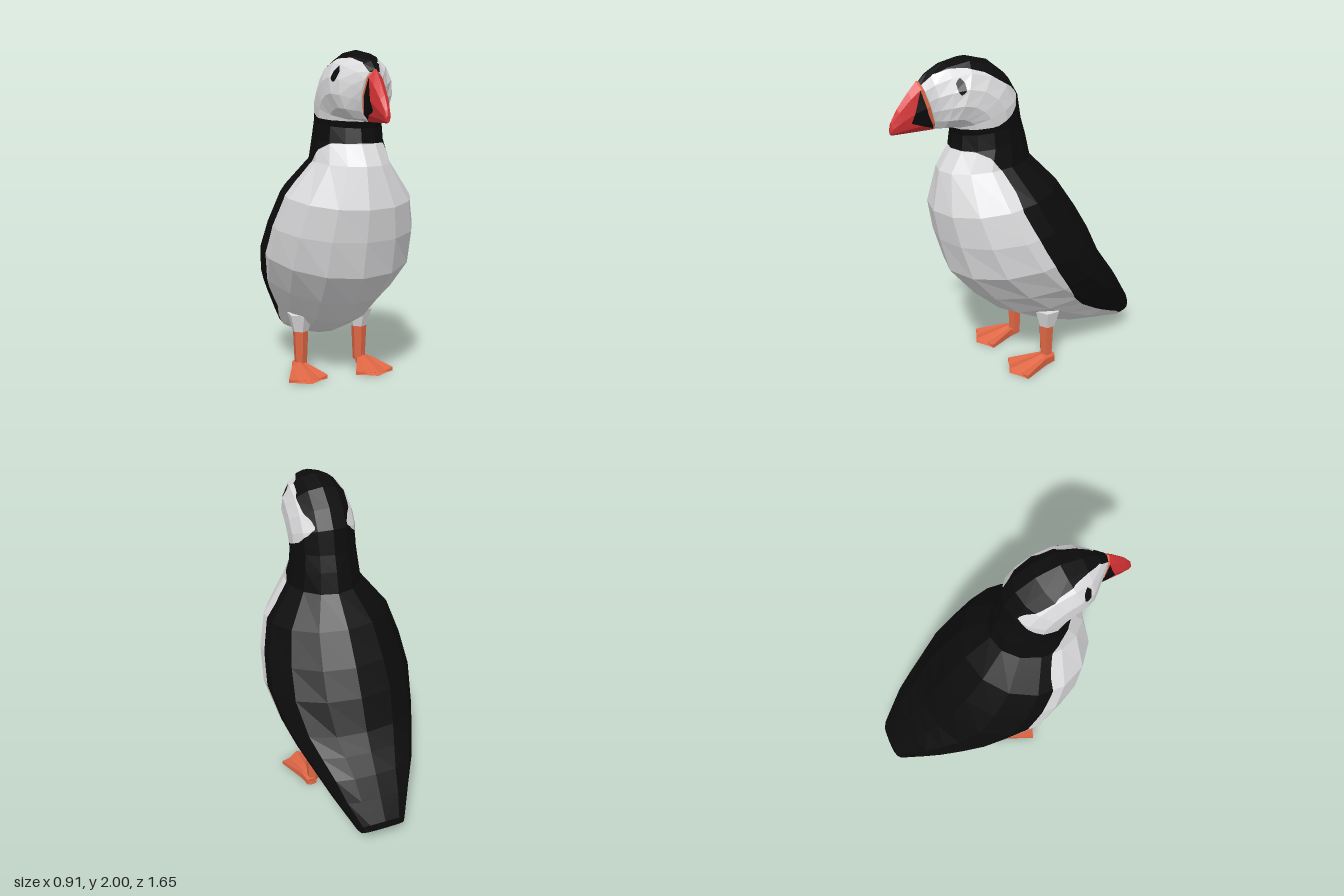
import * as THREE from 'three';

const mat = (name, color) => {
  const m = new THREE.MeshStandardMaterial({ color });
  m.name = name;
  return m;
};
const V = (x, y, z) => new THREE.Vector3(x, y, z);

// Oval section between a front and a back point (z, y); bias moves the widest part backward.
function oval([fz, fy, bz, by, w, bias = 0, power = 1], sides) {
  return Array.from({ length: sides }, (_, i) => {
    const t = (i / sides) * Math.PI * 2;
    const s = Math.sign(Math.sin(t)) * Math.abs(Math.sin(t)) ** power;
    const c = Math.cos(t) - bias * Math.sin(t) ** 2;
    return V(w * s, (fy + by) / 2 + (fy - by) / 2 * c, (fz + bz) / 2 + (fz - bz) / 2 * c);
  });
}

// Closed skin over a row of sections, as a list of outward triangles.
function loft(rings) {
  const tris = [];
  const n = rings[0].length;
  const mid = r => r.reduce((s, p) => s.add(p), V(0, 0, 0)).divideScalar(n);
  const first = rings[0], last = rings[rings.length - 1];
  const c0 = mid(first), c1 = mid(last);
  for (let i = 0; i < n; i++) {
    const j = (i + 1) % n;
    for (let k = 0; k + 1 < rings.length; k++) {
      const a = rings[k], b = rings[k + 1];
      tris.push([a[i], a[j], b[j]], [a[i], b[j], b[i]]);
    }
    tris.push([c0, first[j], first[i]], [c1, last[i], last[j]]);
  }
  const volume = tris.reduce((s, [a, b, c]) => s + a.dot(b.clone().cross(c)), 0);
  return volume < 0 ? tris.map(([a, b, c]) => [a, c, b]) : tris;
}

// Signed distance to an outline in the z-y plane, positive inside.
function inside(poly, p) {
  let d = Infinity, within = false;
  poly.forEach(([az, ay], i) => {
    const [bz, by] = poly[(i + 1) % poly.length];
    const ez = bz - az, ey = by - ay, pz = p.z - az, py = p.y - ay;
    const t = THREE.MathUtils.clamp((pz * ez + py * ey) / (ez * ez + ey * ey), 0, 1);
    d = Math.min(d, Math.hypot(pz - t * ez, py - t * ey));
    if ((ay > p.y) !== (by > p.y) && p.z < az + ez * (p.y - ay) / ey) within = !within;
  });
  return within ? d : -d;
}

// Cuts triangles along an outline into the part inside and the part outside.
function cut(tris, poly) {
  const parts = [[], []];
  const visit = tri => {
    const d = tri.map(p => inside(poly, p));
    const len = tri.map((p, i) => p.distanceTo(tri[(i + 1) % 3]));
    const longest = Math.max(...len);
    if (Math.min(...d.map(Math.abs)) > longest) {
      parts[d[0] > 0 ? 0 : 1].push(tri);
    } else if (longest > 0.025) {
      const i = len.indexOf(longest);
      const [a, b, c] = [tri[i], tri[(i + 1) % 3], tri[(i + 2) % 3]];
      const m = a.clone().lerp(b, 0.5);
      visit([a, m, c]);
      visit([m, b, c]);
    } else {
      [1, -1].forEach((sign, side) => {
        const out = [];
        tri.forEach((p, i) => {
          const j = (i + 1) % 3;
          if (d[i] * sign >= 0) out.push(p);
          if (d[i] * d[j] < 0) out.push(p.clone().lerp(tri[j], d[i] / (d[i] - d[j])));
        });
        for (let k = 1; k + 1 < out.length; k++) parts[side].push([out[0], out[k], out[k + 1]]);
      });
    }
  };
  tris.forEach(visit);
  return parts;
}

// Faceted mesh from a triangle list.
function facets(name, tris, material) {
  const g = new THREE.BufferGeometry().setFromPoints(tris.flat());
  g.computeVertexNormals();
  const m = new THREE.Mesh(g, material);
  m.name = name;
  return m;
}

export function createModel() {
  const black = mat('black', 0x0c0c0c), white = mat('white', 0xdcdcde);
  const red = mat('red', 0xd63235), orange = mat('orange', 0xdf6745);
  const model = new THREE.Group();
  model.name = 'seabird';

  // Head, neck, body and tail: one skin, from the face round to the tail
  const skin = loft([
    [0.56, 1.605, 0.645, 1.885, 0.065],
    [0.545, 1.6, 0.59, 1.93, 0.105],
    [0.53, 1.6, 0.49, 1.975, 0.16],
    [0.515, 1.6, 0.36, 2, 0.19],
    [0.5, 1.605, 0.22, 1.965, 0.2],
    [0.48, 1.605, 0.11, 1.88, 0.205],
    [0.46, 1.605, 0.045, 1.77, 0.205],
    [0.445, 1.56, 0.02, 1.62, 0.2],
    [0.46, 1.47, -0.01, 1.52, 0.21],
    [0.54, 1.35, -0.04, 1.39, 0.235],
    [0.585, 1.11, -0.2, 1.23, 0.39],
    [0.55, 0.92, -0.33, 1.04, 0.445],
    [0.49, 0.7, -0.42, 0.88, 0.465, 0.08],
    [0.33, 0.51, -0.51, 0.69, 0.42, 0.2],
    [0.15, 0.35, -0.58, 0.59, 0.365, 0.3],
    [-0.05, 0.245, -0.66, 0.48, 0.305, 0.38],
    [-0.3, 0.165, -0.74, 0.36, 0.24, 0.3, 0.85],
    [-0.69, 0.1, -0.82, 0.24, 0.155, 0, 0.6],
    [-0.74, 0.12, -0.825, 0.19, 0.14, 0, 0.6],
  ].map(s => oval(s, 14)));

  const breastLine = [
    [0.8, 1.475], [0.38, 1.475], [0.31, 1.44], [0.25, 1.36], [0.21, 1.25], [0.2, 1.15],
    [0.15, 1.04], [0.08, 0.9], [0, 0.76], [-0.1, 0.62], [-0.2, 0.48], [-0.3, 0.385],
    [-0.45, 0.29], [-0.6, 0.21], [-0.68, 0.17], [-0.75, 0.12], [-0.75, -0.1], [0.8, -0.1],
  ];
  const cheekLine = [
    [0.7, 1.83], [0.65, 1.86], [0.58, 1.92], [0.49, 1.95], [0.4, 1.95], [0.3, 1.92],
    [0.2, 1.86], [0.12, 1.815], [0.08, 1.775], [0.1, 1.73], [0.15, 1.67], [0.25, 1.62],
    [0.35, 1.608], [0.45, 1.6], [0.5, 1.57], [0.7, 1.57],
  ];
  const eyeLine = [[0.46, 1.91], [0.485, 1.88], [0.48, 1.83], [0.46, 1.81], [0.437, 1.84], [0.437, 1.88]];
  const [breast, upper] = cut(skin, breastLine);
  const [face, dark] = cut(upper, cheekLine);
  const [eyes, cheeks] = cut(face, eyeLine);
  model.add(facets('breast', breast, white), facets('darkPlumage', dark, black),
    facets('cheeks', cheeks, white), facets('eyes', eyes, black));

  // Beak: red blade, dark base and a thin orange rim against the face
  const blade = loft([
    [0.53, 1.605, 0.62, 1.885, 0.055],
    [0.57, 1.6, 0.66, 1.885, 0.056],
    [0.67, 1.6, 0.71, 1.83, 0.046],
    [0.75, 1.6, 0.78, 1.745, 0.034],
    [0.81, 1.6, 0.82, 1.675, 0.02],
    [0.825, 1.602, 0.828, 1.64, 0.012],
  ].map(s => oval(s, 8)));
  const rimLine = [[0.5, 1.95], [0.662, 1.92], [0.648, 1.83], [0.612, 1.7], [0.572, 1.61], [0.55, 1.58], [0.5, 1.58]];
  const baseLine = [[0.5, 1.86], [0.645, 1.86], [0.675, 1.76], [0.71, 1.66], [0.57, 1.61], [0.5, 1.61]];
  const [rim, rest] = cut(blade, rimLine);
  const [base, tip] = cut(rest, baseLine);
  model.add(facets('beakRim', rim, orange), facets('beakBase', base, black), facets('beak', tip, red));

  // Webbed foot: three raised toes with webs between them
  const footRow = (xs, ys, zs) => [
    ...xs.map((x, i) => V(x, ys[i], zs[i])),
    ...xs.map((x, i) => V(x, 0, zs[i])).reverse(),
  ];
  const foot = loft([
    footRow([-0.03, -0.015, 0, 0.015, 0.03], [0.04, 0.05, 0.05, 0.05, 0.04], [-0.12, -0.125, -0.125, -0.125, -0.12]),
    footRow([-0.05, -0.025, 0, 0.025, 0.05], [0.05, 0.05, 0.062, 0.05, 0.05], [-0.04, -0.04, -0.035, -0.04, -0.04]),
    footRow([-0.125, -0.065, 0, 0.065, 0.125], [0.024, 0.014, 0.026, 0.014, 0.024], [0.14, 0.165, 0.205, 0.165, 0.14]),
  ]);

  // Legs, mirrored
  for (const [side, x] of [['left', 0.22], ['right', -0.22]]) {
    const leg = new THREE.Group();
    leg.name = side + 'Leg';
    leg.position.x = x;
    const inward = -Math.sign(x) * 0.02;
    const tube = (name, top, bottom, y0, y1, z, material) => {
      const g = new THREE.CylinderGeometry(top, bottom, y1 - y0, 6).toNonIndexed();
      g.computeVertexNormals();
      const m = new THREE.Mesh(g, material);
      m.name = name;
      m.position.set(inward, (y0 + y1) / 2, z);
      leg.add(m);
    };
    tube(side + 'Thigh', 0.085, 0.052, 0.255, 0.37, -0.09, white);
    tube(side + 'Shin', 0.05, 0.04, 0.03, 0.257, -0.085, orange);
    leg.add(facets(side + 'Foot', foot, orange));
    model.add(leg);
  }
  return model;
}
